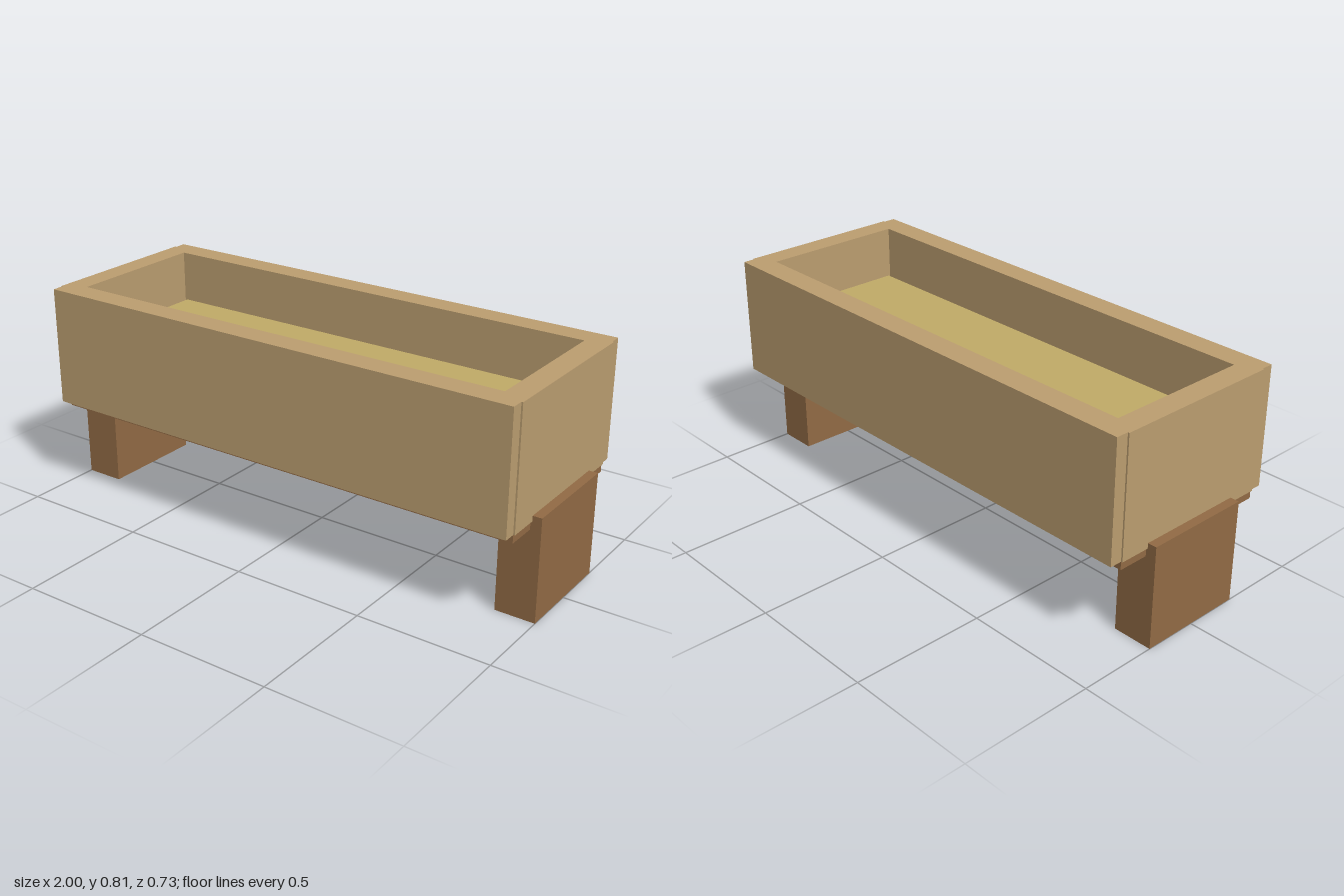
import * as THREE from 'three';

export function createModel() {
  const model = new THREE.Group();
  model.name = 'planterBox';

  const material = (name, color) => {
    const m = new THREE.MeshStandardMaterial({ color });
    m.name = name;
    return m;
  };
  const lightWood = material('lightWood', 0xbc9e70);
  const darkWood = material('darkWood', 0x926b45);
  const straw = material('straw', 0xc1ab67);

  // Box given by its lower and upper limits on each axis
  const addBox = (name, mat, [x0, x1], [y0, y1], [z0, z1]) => {
    const geometry = new THREE.BoxGeometry(x1 - x0, y1 - y0, z1 - z0);
    const mesh = new THREE.Mesh(geometry, mat);
    mesh.position.set((x0 + x1) / 2, (y0 + y1) / 2, (z0 + z1) / 2);
    mesh.name = name;
    model.add(mesh);
  };
  // Limits mirrored to the side given by s
  const span = (s, a, b) => (s > 0 ? [a, b] : [-b, -a]);

  // Base board and the raised filling inside the box
  addBox('baseBoard', darkWood, [-0.96, 0.96], [0.335, 0.385], [-0.32, 0.32]);
  addBox('filling', straw, [-0.83, 0.83], [0.385, 0.64], [-0.228, 0.228]);

  for (const s of [1, -1]) {
    // Long walls
    addBox(s > 0 ? 'frontWall' : 'backWall', lightWood,
      [-0.96, 0.96], [0.366, 0.815], span(s, 0.275, 0.366));
    // End walls, standing slightly proud of the long walls
    const side = s > 0 ? 'left' : 'right';
    addBox(side + 'Wall', lightWood, span(s, 0.88, 0.966), [0.366, 0.815], [-0.32, 0.32]);
    // Block legs
    addBox(side + 'Leg', darkWood, span(s, 0.85, 1), [0, 0.386], [-0.204, 0.204]);
  }
  return model;
}
